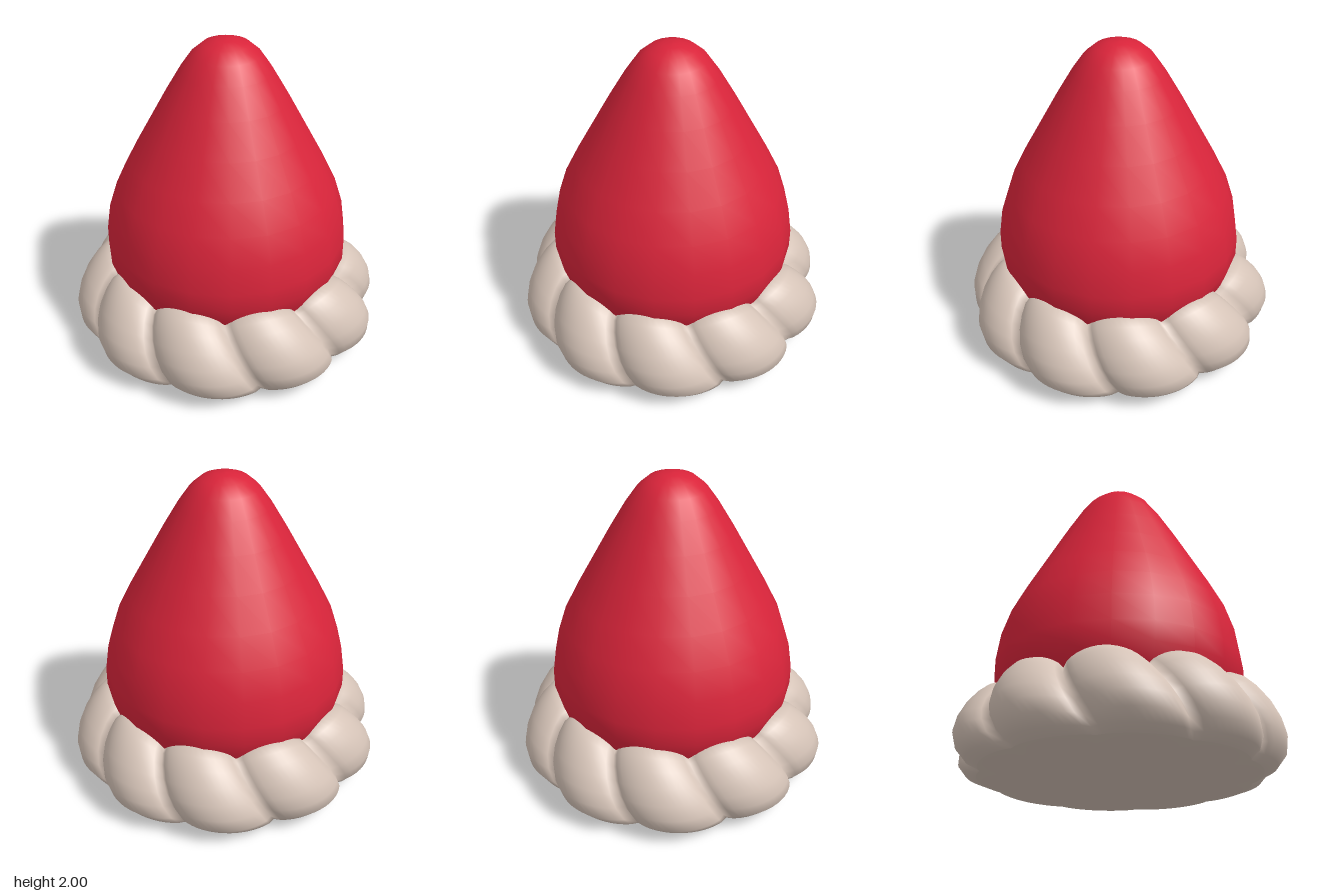
import * as THREE from 'three';

const LOBES = 10;
const STEPS = 14; // segments per lobe

// Builds a scalloped ring surface: each row is [crest r, crest y, valley r, valley y]
function scallopedSurface(rows) {
  const n = LOBES * STEPS;
  const pos = [];
  const index = [];
  rows.forEach(([cr, cy, vr, vy], j) => {
    for (let i = 0; i < n; i++) {
      const swell = Math.pow(Math.abs(Math.sin((Math.PI * i) / STEPS)), 0.65);
      const r = vr + (cr - vr) * swell;
      const y = vy + (cy - vy) * swell;
      // grooves slant with height, giving the twisted look
      const slant = 64.9 + 38 * (vy - 0.2);
      const a = (i / n) * Math.PI * 2 + THREE.MathUtils.degToRad(slant);
      pos.push(r * Math.cos(a), y, r * Math.sin(a));
      if (j < rows.length - 1) {
        const k = (i + 1) % n;
        const p = j * n + i, q = j * n + k;
        index.push(p, q, p + n, q, q + n, p + n);
      }
    }
  });
  const geo = new THREE.BufferGeometry();
  geo.setAttribute('position', new THREE.Float32BufferAttribute(pos, 3));
  geo.setIndex(index);
  geo.computeVertexNormals();
  return geo;
}

export function createModel() {
  const group = new THREE.Group();
  const red = new THREE.MeshStandardMaterial({ color: 0xd9243a });
  red.name = 'red';
  const cream = new THREE.MeshStandardMaterial({ color: 0xd6c4b8 });
  cream.name = 'cream';

  const add = (name, geo, mat) => {
    const mesh = new THREE.Mesh(geo, mat);
    mesh.name = name;
    group.add(mesh);
  };

  // Rounded cone body
  const profile = [
    [0.66, 0.36], [0.73, 0.48], [0.77, 0.6], [0.77, 0.72], [0.745, 0.89],
    [0.69, 1.06], [0.6, 1.24], [0.49, 1.44], [0.38, 1.64], [0.28, 1.81],
    [0.21, 1.91], [0.14, 1.97], [0.06, 1.997], [0, 2],
  ].map(([r, y]) => new THREE.Vector2(r, y));
  add('coneBody', new THREE.LatheGeometry(profile, 20), red);

  // Twisted puffy brim
  add('twistedBrim', scallopedSurface([
    [0.6, 0.47, 0.58, 0.38],
    [0.68, 0.55, 0.65, 0.45],
    [0.75, 0.572, 0.7, 0.475],
    [0.81, 0.545, 0.75, 0.455],
    [0.87, 0.49, 0.795, 0.41],
    [0.93, 0.41, 0.84, 0.35],
    [0.975, 0.32, 0.875, 0.28],
    [0.998, 0.23, 0.89, 0.21],
    [0.985, 0.14, 0.885, 0.13],
    [0.93, 0.075, 0.86, 0.075],
    [0.85, 0.045, 0.815, 0.045],
  ]), cream);

  // Slightly domed underside
  add('underside', scallopedSurface([
    [0.85, 0.045, 0.815, 0.045],
    [0.6, 0.018, 0.59, 0.018],
    [0.3, 0.004, 0.3, 0.004],
    [0, 0, 0, 0],
  ]), cream);

  return group;
}
